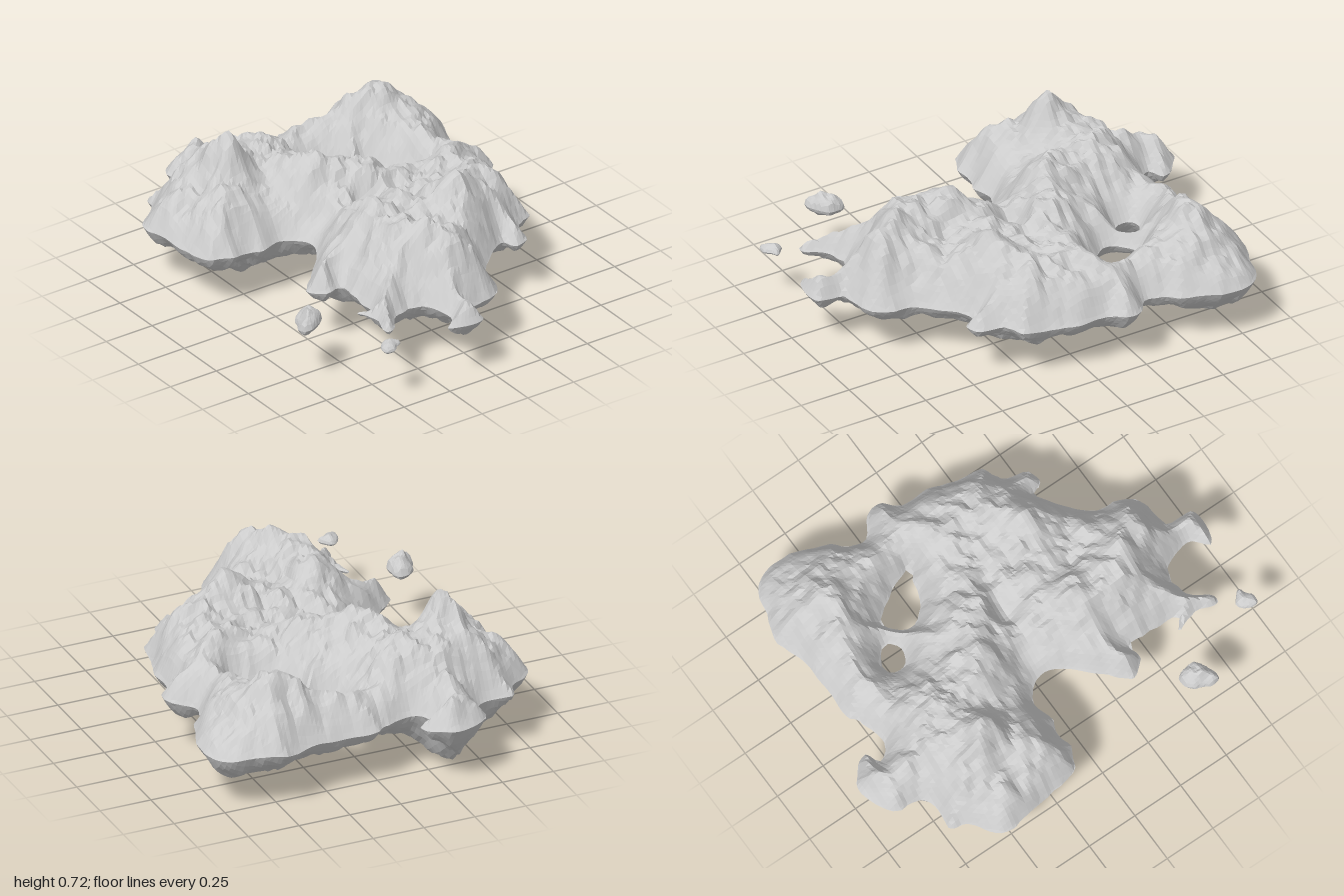
import * as THREE from 'three';

const RIM = 0.3; // height of the sharp edge where top and underside meet

// Outlines as x, z pairs
const coast = [
  -.68, -.83, -.52, -.79, -.42, -.75, -.35, -.69, -.27, -.69, -.22, -.77, -.14, -.78, -.06, -.72, .08, -.72, .2, -.68,
  .33, -.65, .38, -.56, .5, -.52, .51, -.45, .45, -.42, .52, -.32, .63, -.2, .75, -.18, .83, -.12, .86, .04,
  .98, .05, 1, .12, .96, .23, .9, .16, .78, .19, .73, .22, .73, .35, .83, .44, .82, .47, .72, .45,
  .6, .49, .65, .43, .5, .41, .38, .42, .4, .47, .31, .55, .25, .5, .13, .38, .06, .32, 0, .3,
  -.08, .33, -.12, .4, -.1, .5, -.12, .57, -.11, .65, -.15, .74, -.25, .78, -.35, .79, -.48, .81, -.58, .82,
  -.65, .75, -.7, .69, -.78, .66, -.76, .58, -.8, .47, -.93, .45, -1, .3, -.97, .22, -.88, .15, -.85, .22,
  -.78, .18, -.8, .03, -.84, -.05, -.84, -.15, -.85, -.38, -.89, -.5, -.85, -.65, -.8, -.78];
const largeHole = [-.2, -.45, -.3, -.43, -.37, -.38, -.46, -.32, -.4, -.23, -.3, -.24, -.25, -.32, -.23, -.4];
const smallHole = [-.5, -.22, -.46, -.2, -.47, -.1, -.55, -.09, -.57, -.15, -.54, -.19];
const nearRock = [.47, .67, .55, .64, .62, .72, .62, .78, .55, .77, .48, .72];
const farRock = [.88, .53, .94, .48, .97, .53, .97, .57, .93, .58];

// Hills and gullies on top: x, z, height, radius
const hills = [
  [-.43, .45, .2, .09], [-.63, -.46, .13, .11], [-.74, -.74, -.06, .12], [.3, -.28, .14, .13], [.58, .08, .13, .13],
  [.73, -.02, .07, .1], [-.6, .25, .1, .14], [-.58, .5, .1, .12], [-.16, -.08, .09, .1], [-.28, .16, .11, .13],
  [-.12, -.47, .08, .11], [.22, -.53, .08, .1], [.28, .15, .11, .12], [.45, .2, .07, .1], [-.28, .58, .06, .09],
  [-.04, .22, -.1, .09], [-.01, .02, -.08, .09], [.04, -.2, -.05, .08], [-.66, -.02, -.04, .08], [.42, -.05, -.05, .07]];
// Downward bulges of the underside
const bulges = [
  [-.62, .4, .17, .19], [-.36, .38, .08, .2], [-.8, .35, .08, .1], [.3, .12, .07, .14], [.52, .12, .04, .15],
  [-.18, .05, .03, .14], [-.62, -.6, .05, .16], [.2, -.35, .04, .16], [.02, .2, -.03, .12]];

const bumps = (list, x, z) => list.reduce((sum, [cx, cz, h, r]) =>
  sum + h * Math.exp(-((x - cx) ** 2 + (z - cz) ** 2) / (r * r)), 0);

// Seeded value noise, about -1 to 1
function hash(i, j) {
  const s = Math.sin(i * 127.1 + j * 311.7) * 43758.5453;
  return s - Math.floor(s);
}
function noise(x, z) {
  const i = Math.floor(x), j = Math.floor(z);
  const ease = t => t * t * (3 - 2 * t), u = ease(x - i), v = ease(z - j);
  const lerp = THREE.MathUtils.lerp;
  return 2 * lerp(lerp(hash(i, j), hash(i + 1, j), u), lerp(hash(i, j + 1), hash(i + 1, j + 1), u), v) - 1;
}
// Ridged layers give craggy crests
const crags = (x, z) =>
  .018 * (1 - 2 * Math.abs(noise(x * 7, z * 7))) + .022 * noise(x * 14 + 5, z * 14) + .022 * noise(x * 28, z * 28 + 9);
// The rim wavers slightly
const rimAt = (x, z) => RIM + .01 * noise(x * 9 + 2, z * 9);

// Rounded outline with small lumps
function roundLoop(flat) {
  const points = [];
  for (let k = 0; k < flat.length; k += 2) points.push(new THREE.Vector3(flat[k], 0, flat[k + 1]));
  const curve = new THREE.CatmullRomCurve3(points, true, 'centripetal');
  return curve.getPoints(points.length * 4).slice(0, -1).flatMap(({ x, z }) =>
    [x + .008 * noise(x * 28, z * 28), z + .008 * noise(x * 28 + 7, z * 28)]);
}

// Inside test and nearest outline point for a set of loops
function probe(loops, x, z) {
  let inside = false, best = Infinity, px = x, pz = z;
  for (const loop of loops) {
    for (let k = 0; k < loop.length; k += 2) {
      const m = (k + 2) % loop.length;
      const ax = loop[k], az = loop[k + 1], bx = loop[m], bz = loop[m + 1];
      if ((az > z) !== (bz > z) && x < ax + (bx - ax) * (z - az) / (bz - az)) inside = !inside;
      const dx = bx - ax, dz = bz - az;
      const t = THREE.MathUtils.clamp(((x - ax) * dx + (z - az) * dz) / (dx * dx + dz * dz), 0, 1);
      const qx = ax + dx * t, qz = az + dz * t, d = Math.hypot(x - qx, z - qz);
      if (d < best) { best = d; px = qx; pz = qz; }
    }
  }
  return { inside, d: best, px, pz };
}

// Grid clipped to the outline, raised on top and hung below the rim
function landGeometry(outlines, step, topAt, bottomAt) {
  const loops = outlines.map(roundLoop);
  const xs = loops[0].filter((_, k) => k % 2 === 0), zs = loops[0].filter((_, k) => k % 2 === 1);
  const x0 = Math.min(...xs) - step, z0 = Math.min(...zs) - step;
  const nx = Math.ceil((Math.max(...xs) - x0) / step) + 2;
  const nz = Math.ceil((Math.max(...zs) - z0) / step) + 2;
  const upper = [], lower = [], inside = [], index = [];
  for (let j = 0; j < nz; j++) {
    for (let i = 0; i < nx; i++) {
      const x = x0 + i * step, z = z0 + j * step, p = probe(loops, x, z);
      inside.push(p.inside);
      if (p.inside) {
        upper.push(x, rimAt(x, z) + topAt(x, z, p.d), z);
        lower.push(x, rimAt(x, z) - bottomAt(x, z, p.d), z);
      } else {
        upper.push(p.px, rimAt(p.px, p.pz), p.pz);
        lower.push(p.px, rimAt(p.px, p.pz), p.pz);
      }
    }
  }
  const under = nx * nz;
  for (let j = 0; j < nz - 1; j++) {
    for (let i = 0; i < nx - 1; i++) {
      const a = j * nx + i, b = a + 1, c = a + nx, d = c + 1;
      // Split the cell so that clipped corners stay on their own triangle
      const tris = inside[a] !== inside[d] ? [[a, c, b], [b, c, d]] : [[a, c, d], [a, d, b]];
      for (const [p, q, r] of tris) {
        if (!inside[p] && !inside[q] && !inside[r]) continue;
        index.push(p, q, r, under + p, under + r, under + q);
      }
    }
  }
  const geometry = new THREE.BufferGeometry();
  geometry.setAttribute('position', new THREE.Float32BufferAttribute([...upper, ...lower], 3));
  geometry.setIndex(index);
  geometry.computeVertexNormals();
  return geometry;
}

// Island profiles: steep cliffs that level off inland
const islandTop = (x, z, d) =>
  Math.min(.42, (1 - Math.exp(-((d / .09) ** 1.2))) * Math.max(.06, .2 + bumps(hills, x, z) + crags(x, z)));
const islandBottom = (x, z, d) =>
  Math.min(.292, (1 - Math.exp(-d / .06)) * Math.max(.04, .115 + bumps(bulges, x, z) + .8 * crags(x + 3, z + 7)));

// Small rocks: rounded lumps
const lump = (height, width) => (x, z, d) =>
  height * Math.sqrt(Math.min(1, d / width)) * (1 + .25 * noise(x * 40, z * 40));

export function createModel() {
  const group = new THREE.Group();
  const material = new THREE.MeshStandardMaterial({ color: 0xcccccc, flatShading: true });
  const add = (name, geometry) => {
    const mesh = new THREE.Mesh(geometry, material);
    mesh.name = name;
    group.add(mesh);
  };
  add('island', landGeometry([coast, largeHole, smallHole], .02, islandTop, islandBottom));
  add('nearRock', landGeometry([nearRock], .012, lump(.07, .05), lump(.04, .04)));
  add('farRock', landGeometry([farRock], .01, lump(.035, .035), lump(.02, .03)));
  return group;
}
